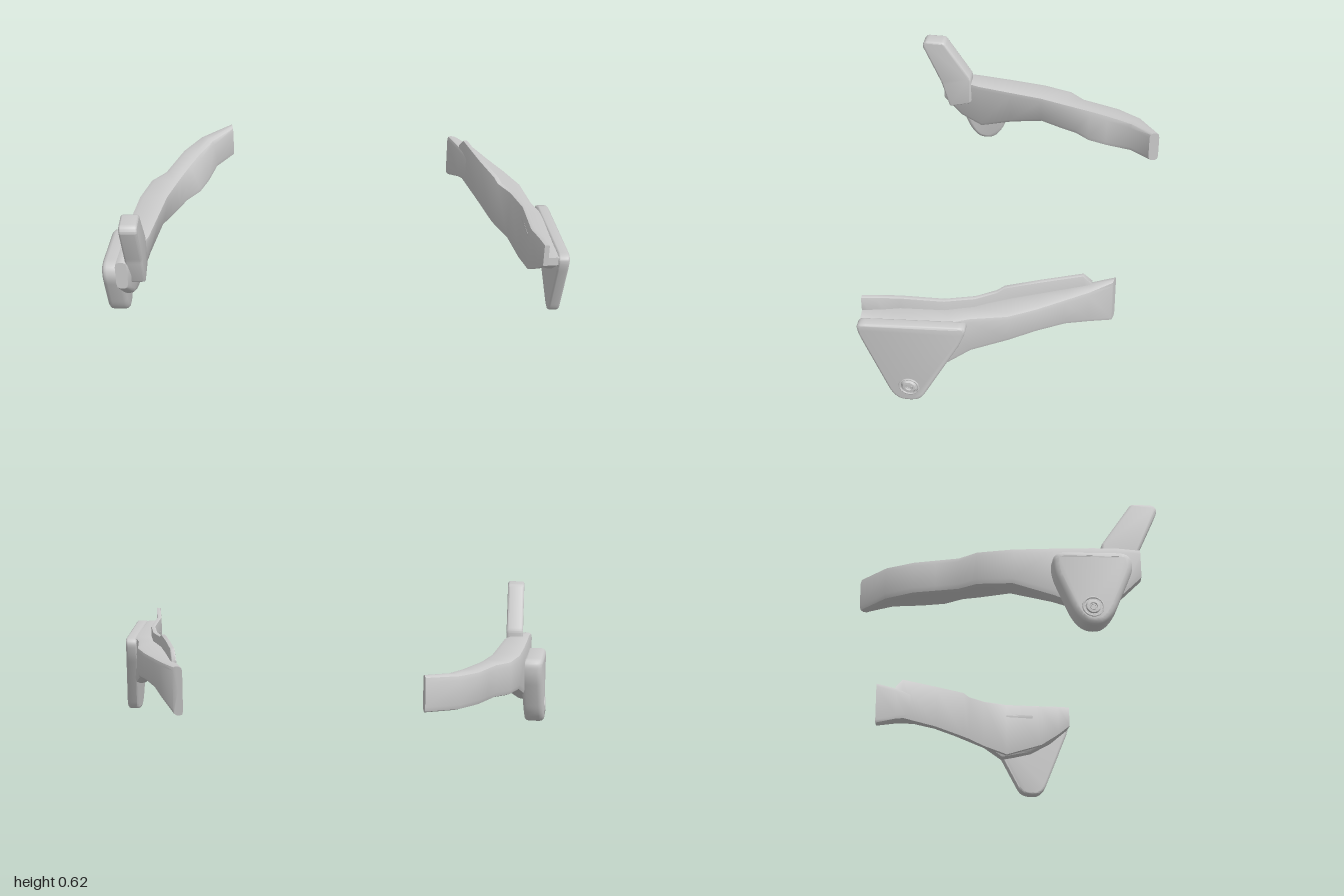
import * as THREE from 'three';
import { toCreasedNormals } from 'three/addons/utils/BufferGeometryUtils.js';

const material = new THREE.MeshStandardMaterial({ color: 0xcccccc, side: THREE.DoubleSide });

function part(name, geometry, crease = 0.6) {
  const mesh = new THREE.Mesh(toCreasedNormals(geometry, crease), material);
  mesh.name = name;
  return mesh;
}

// Four-cornered section with softened corners
function section(corners, radius) {
  const ring = [];
  corners.forEach((c, i) => {
    const near = [corners[(i + 3) % 4], corners[(i + 1) % 4]].map((n) => {
      const d = n.clone().sub(c);
      return c.clone().addScaledVector(d, Math.min(radius / d.length(), 0.35));
    });
    const mid = near[0].clone().add(near[1]).multiplyScalar(0.25).addScaledVector(c, 0.5);
    ring.push(near[0], mid, near[1]);
  });
  return ring;
}

// Closed skin through equal-length rings; winding is set so faces point outward
function loft(rings) {
  const n = rings[0].length;
  const tris = [];
  for (let i = 0; i < rings.length - 1; i++) {
    for (let j = 0; j < n; j++) {
      const k = (j + 1) % n;
      const [a, b, c, d] = [rings[i][j], rings[i][k], rings[i + 1][k], rings[i + 1][j]];
      tris.push([a, b, c], [a, c, d]);
    }
  }
  const cap = (ring, flip) => {
    const centre = new THREE.Vector3();
    ring.forEach((p) => centre.addScaledVector(p, 1 / n));
    ring.forEach((p, j) => {
      const q = ring[(j + 1) % n];
      tris.push(flip ? [centre, q, p] : [centre, p, q]);
    });
  };
  cap(rings[0], true);
  cap(rings[rings.length - 1], false);
  const volume = tris.reduce((s, [a, b, c]) => s + a.dot(b.clone().cross(c)), 0);
  if (volume < 0) tris.forEach((t) => t.reverse());
  return new THREE.BufferGeometry().setFromPoints(tris.flat());
}

// Stations: outer x, outer z, inner x, inner z, top y, bottom y, lower inner x
function arm(name, stations, radius) {
  return part(name, loft(stations.map(([xo, zo, xi, zi, top, bottom, xl = xi]) => section([
    new THREE.Vector3(xo, top, zo), new THREE.Vector3(xo, bottom, zo),
    new THREE.Vector3(xl, bottom, zi), new THREE.Vector3(xi, top, zi),
  ], radius))), 0.7);
}

// Plate drawn as a rounded (z, y) outline, given thickness in x and bent by a rule
function plate(name, points, xMax, width, round, bevel, bend = () => 0) {
  const p = points.map(([z, y]) => new THREE.Vector2(z, y));
  const shape = new THREE.Shape();
  p.forEach((c, i) => {
    const [from, to] = [p[(i + p.length - 1) % p.length], p[(i + 1) % p.length]].map((n) =>
      c.clone().lerp(n, Math.min(round / c.distanceTo(n), 0.45)));
    if (i === 0) shape.moveTo(from.x, from.y);
    else shape.lineTo(from.x, from.y);
    shape.quadraticCurveTo(c.x, c.y, to.x, to.y);
  });
  shape.closePath();
  const geometry = new THREE.ExtrudeGeometry(shape, {
    depth: width - 2 * bevel, bevelThickness: bevel, bevelSize: bevel,
    bevelOffset: -bevel, bevelSegments: 3, curveSegments: 6,
  });
  geometry.rotateY(-Math.PI / 2).translate(xMax - bevel, 0, 0);
  const pos = geometry.attributes.position;
  for (let i = 0; i < pos.count; i++) {
    pos.setX(i, pos.getX(i) + bend(pos.getZ(i), pos.getY(i)));
  }
  return part(name, geometry);
}

// Round screw with raised rim and hexagonal socket, facing along +x or -x
function screw(side, x) {
  const group = new THREE.Group();
  group.name = 'screw';
  const rim = new THREE.TorusGeometry(0.04, 0.004, 8, 32);
  const profile = [[0, -0.004], [0.014, -0.004], [0.016, 0.006], [0.026, 0.005], [0.034, -0.004]];
  const head = new THREE.LatheGeometry(profile.map(([r, y]) => new THREE.Vector2(r, y)).reverse(), 24);
  const socket = new THREE.TorusGeometry(0.012, 0.003, 6, 6);
  group.add(part('screwRim', rim.rotateY(Math.PI / 2)));
  group.add(part('screwHead', head.rotateZ(-side * Math.PI / 2)));
  group.add(part('screwSocket', socket.rotateY(Math.PI / 2)));
  group.position.set(side * x, 0.08, 0.3);
  return group;
}

function createLeftSide() {
  const group = new THREE.Group();
  group.name = 'leftSide';
  // Curved arm with an arched underside
  group.add(arm('leftArm', [
    [0.96, 0.495, 0.885, 0.5, 0.395, 0.355],
    [0.96, 0.4, 0.855, 0.4, 0.39, 0.27, 0.90],
    [0.96, 0.3, 0.83, 0.3, 0.39, 0.21, 0.90],
    [0.925, 0.15, 0.82, 0.15, 0.39, 0.165, 0.87],
    [0.885, 0.06, 0.79, 0.06, 0.39, 0.21, 0.82],
    [0.85, -0.09, 0.72, -0.09, 0.392, 0.255],
    [0.79, -0.2, 0.675, -0.2, 0.394, 0.267],
    [0.72, -0.31, 0.63, -0.31, 0.398, 0.26],
    [0.665, -0.4, 0.59, -0.4, 0.403, 0.235],
    [0.59, -0.49, 0.545, -0.5, 0.405, 0.19],
  ], 0.02));
  // Thin inner flange standing above the arm and showing below it
  const flange = [
    [0.885, 0.5, 0.46, 0.355], [0.87, 0.44, 0.455, 0.3], [0.845, 0.35, 0.443, 0.23],
    [0.83, 0.17, 0.436, 0.165], [0.79, 0.05, 0.432, 0.19], [0.74, -0.03, 0.432, 0.205],
    [0.725, -0.06, 0.447, 0.21], [0.67, -0.2, 0.45, 0.235], [0.61, -0.37, 0.455, 0.25],
    [0.595, -0.405, 0.41, 0.25],
  ];
  group.add(arm('innerFlange',
    flange.map(([x, z, top, bottom]) => [x + 0.018, z, x - 0.003, z, top, bottom]), 0.004));
  // Triangular side plate
  group.add(plate('leftSidePlate',
    [[0.505, 0.4], [0.06, 0.39], [0.085, 0.31], [0.25, 0.015], [0.29, 0.0], [0.34, 0.0], [0.375, 0.03], [0.5, 0.35]],
    0.995, 0.05, 0.04, 0.01, (z) => -Math.max(0, 0.25 - z) * 0.28));
  group.add(screw(1, 0.994));
  return group;
}

function createRightSide() {
  const group = new THREE.Group();
  group.name = 'rightSide';
  // Curved arm, deeper where the bracket joins it
  group.add(arm('rightArm', [
    [-0.93, 0.51, -0.88, 0.51, 0.385, 0.25],
    [-0.922, 0.42, -0.83, 0.42, 0.395, 0.16, -0.87],
    [-0.915, 0.32, -0.795, 0.32, 0.395, 0.105, -0.87],
    [-0.9, 0.16, -0.77, 0.16, 0.392, 0.17, -0.83],
    [-0.88, 0, -0.745, 0, 0.39, 0.225, -0.78],
    [-0.84, -0.14, -0.71, -0.12, 0.39, 0.235],
    [-0.78, -0.21, -0.69, -0.18, 0.392, 0.24, -0.68],
    [-0.745, -0.3, -0.665, -0.25, 0.396, 0.245, -0.62],
    [-0.71, -0.39, -0.63, -0.34, 0.4, 0.25, -0.585],
    [-0.635, -0.5, -0.57, -0.46, 0.408, 0.255, -0.555],
    [-0.495, -0.6, -0.483, -0.555, 0.42, 0.265],
  ], 0.025));
  // Upright lug leaning forward
  group.add(plate('lug',
    [[0.6, 0.595], [0.585, 0.62], [0.49, 0.62], [0.36, 0.42], [0.36, 0.28], [0.47, 0.25], [0.51, 0.39]],
    -0.81, 0.077, 0.015, 0.01));
  // Rounded bracket on the outer face
  group.add(plate('rightBracket',
    [[0.15, 0.33], [0.45, 0.33], [0.47, 0.27], [0.385, 0.06], [0.34, 0.008], [0.27, 0.008], [0.225, 0.06], [0.15, 0.25]],
    -0.905, 0.093, 0.045, 0.022, (z) => Math.max(0, 0.27 - z) * 0.2));
  group.add(screw(-1, 0.996));
  return group;
}

export function createModel() {
  const model = new THREE.Group();
  model.name = 'sideBrackets';
  model.add(createLeftSide(), createRightSide());
  return model;
}
